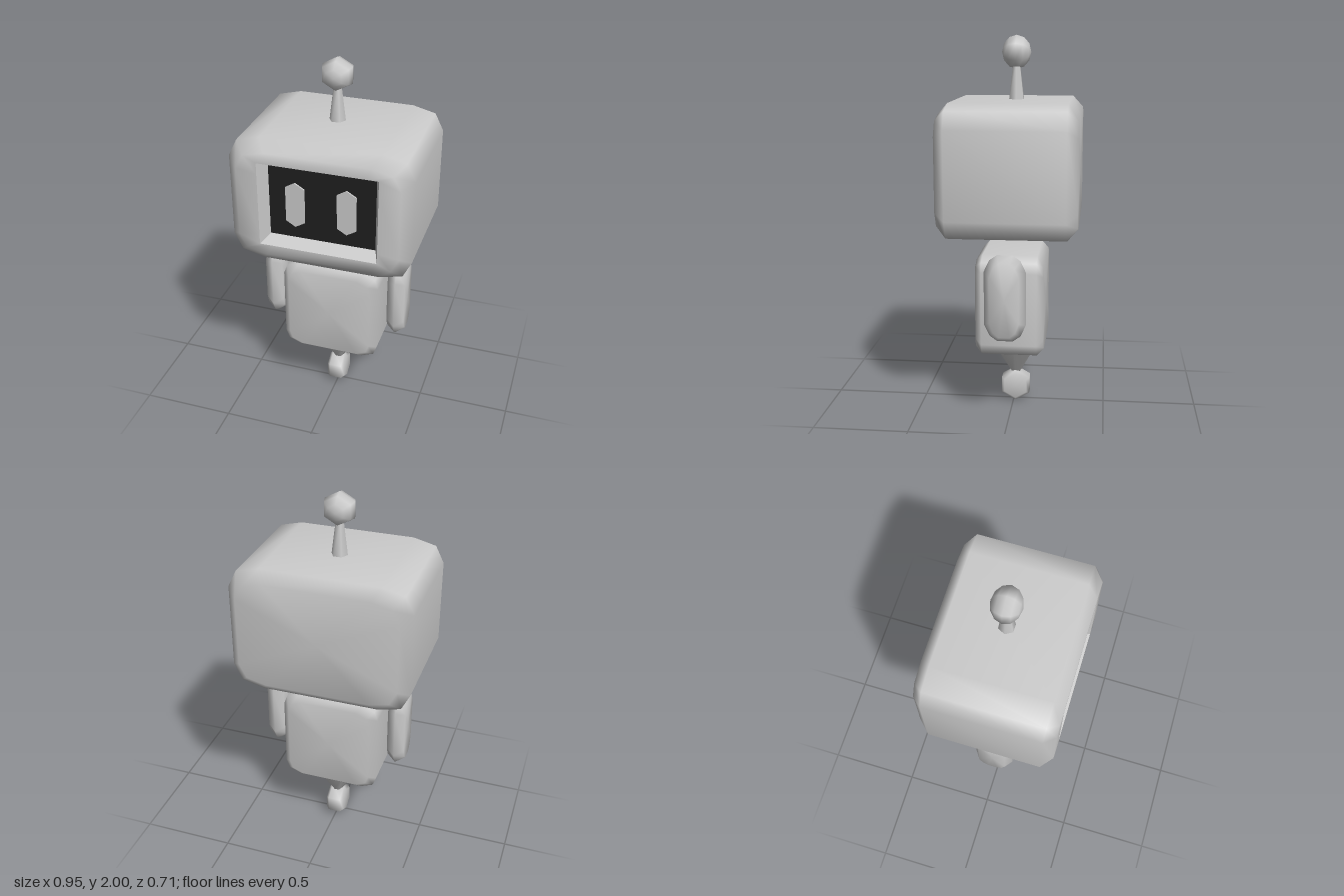
import * as THREE from 'three';

const shell = new THREE.MeshStandardMaterial({ color: 0xcccccc });
shell.name = 'shellGrey';
const dark = new THREE.MeshStandardMaterial({ color: 0x202020 });
dark.name = 'screenBlack';

// Skins a list of rings (counter-clockwise seen from +z), optionally capping the ends.
function loft(rings, capBack = true, capFront = true) {
  const n = rings[0].length, pos = rings.flat(2), idx = [];
  for (let r = 0; r < rings.length - 1; r++) {
    for (let i = 0; i < n; i++) {
      const a = r * n + i, b = r * n + (i + 1) % n;
      idx.push(a, b, b + n, a, b + n, a + n);
    }
  }
  const cap = (r, flip) => {
    const c = pos.length / 3;
    pos.push(0, 0, rings[r][0][2]);
    for (let i = 0; i < n; i++) {
      const a = r * n + i, b = r * n + (i + 1) % n;
      idx.push(c, flip ? b : a, flip ? a : b);
    }
  };
  if (capBack) cap(0, true);
  if (capFront) cap(rings.length - 1, false);
  const g = new THREE.BufferGeometry();
  g.setAttribute('position', new THREE.Float32BufferAttribute(pos, 3));
  g.setIndex(idx);
  g.computeVertexNormals();
  return g;
}

// Twelve-point ring mirrored from one corner: three [x, y] points from side to top.
function ring([p, q, r], z, sx = 1, sy = 1) {
  return [
    p, q, r, [-r[0], r[1]], [-q[0], q[1]], [-p[0], p[1]],
    [-p[0], -p[1]], [-q[0], -q[1]], [-r[0], -r[1]],
    [r[0], -r[1]], [q[0], -q[1]], [p[0], -p[1]],
  ].map(([x, y]) => [x * sx, y * sy, z]);
}

const rect = (w, h, z) => [[w, -h, z], [w, h, z], [-w, h, z], [-w, -h, z]];

const hexagon = (r, z) => Array.from({ length: 6 }, (_, i) => {
  const a = Math.PI / 6 + i * Math.PI / 3;
  return [r * Math.cos(a), r * Math.sin(a), z];
});

function add(parent, name, geometry, material, x, y, z) {
  const mesh = new THREE.Mesh(geometry, material);
  mesh.name = name;
  mesh.position.set(x, y, z);
  parent.add(mesh);
  return mesh;
}

// Six-sided tapered column with corners towards left and right.
const taper = (top, bottom, height) =>
  new THREE.CylinderGeometry(top, bottom, height, 6).rotateY(Math.PI / 2);

export function createModel() {
  const model = new THREE.Group();
  model.name = 'robot';

  // Head: rounded shell with an opening at the front
  const head = new THREE.Group();
  head.name = 'head';
  head.position.y = 1.325;
  model.add(head);
  const headCorner = [[0.475, 0.225], [0.43, 0.315], [0.31, 0.345]];
  const opening = [[0.31, 0.17], [0.31, 0.23], [0.24, 0.23]];
  add(head, 'headShell', loft([
    ring(headCorner, -0.355, 0.885, 0.835),
    ring(headCorner, -0.3),
    ring(headCorner, 0.3),
    ring(headCorner, 0.355, 0.885, 0.835),
    ring(opening, 0.355),
  ], true, false), shell, 0, 0, 0);

  // Sloping walls of the recess, and the screen at its back
  const walls = loft([rect(0.31, 0.23, 0.355), rect(0.28, 0.205, 0.275)], false, false).toNonIndexed();
  walls.computeVertexNormals();
  add(head, 'screenFrame', walls, shell, 0, 0, 0);
  add(head, 'screen', new THREE.PlaneGeometry(0.56, 0.41), dark, 0, 0, 0.275);

  // Eyes: tall six-sided plates
  const eye = new THREE.Shape([
    [0, -0.125], [0.05, -0.095], [0.05, 0.095], [0, 0.125], [-0.05, 0.095], [-0.05, -0.095],
  ].map(([x, y]) => new THREE.Vector2(x, y)));
  const eyeGeometry = new THREE.ExtrudeGeometry(eye, { depth: 0.008, bevelEnabled: false });
  for (const side of [-1, 1]) {
    add(head, side > 0 ? 'leftEye' : 'rightEye', eyeGeometry, shell, side * 0.135 - 0.005, -0.015, 0.276);
  }

  // Antenna: tapered stem and faceted ball
  add(model, 'antennaStem', taper(0.02, 0.045, 0.2), shell, -0.01, 1.755, -0.013);
  const ball = new THREE.SphereGeometry(0.087, 6, 6).rotateY(Math.PI / 6).rotateX(Math.PI / 2).scale(1.04, 1, 0.88);
  add(model, 'antennaBall', ball, shell, -0.01, 1.913, -0.013);

  // Body
  const bodyCorner = [[0.267, 0.195], [0.248, 0.247], [0.18, 0.275]];
  add(model, 'body', loft([
    ring(bodyCorner, -0.18, 0.86, 0.88),
    ring(bodyCorner, -0.145),
    ring(bodyCorner, 0.145),
    ring(bodyCorner, 0.18, 0.86, 0.88),
  ]), shell, 0, 0.595, 0.003);

  // Arms: slabs with a ridge around the middle, turned to face sideways
  const armCorner = [[0.108, 0.14], [0.08, 0.2], [0.04, 0.228]];
  const armGeometry = loft([
    ring(armCorner, -0.048, 0.7, 0.85),
    ring(armCorner, 0),
    ring(armCorner, 0.048, 0.7, 0.85),
  ]).rotateY(Math.PI / 2);
  for (const side of [-1, 1]) {
    add(model, side > 0 ? 'leftArm' : 'rightArm', armGeometry, shell, side * 0.35, 0.683, 0.012);
  }

  // Waist cone and the single wheel-like foot
  add(model, 'waistCone', taper(0.13, 0.025, 0.17), shell, 0, 0.245, -0.012);
  const foot = loft([
    hexagon(0.07, -0.05), hexagon(0.0875, -0.034), hexagon(0.0875, 0.034), hexagon(0.07, 0.05),
  ]).rotateY(Math.PI / 2);
  add(model, 'foot', foot, shell, -0.002, 0.0875, -0.012);

  return model;
}
